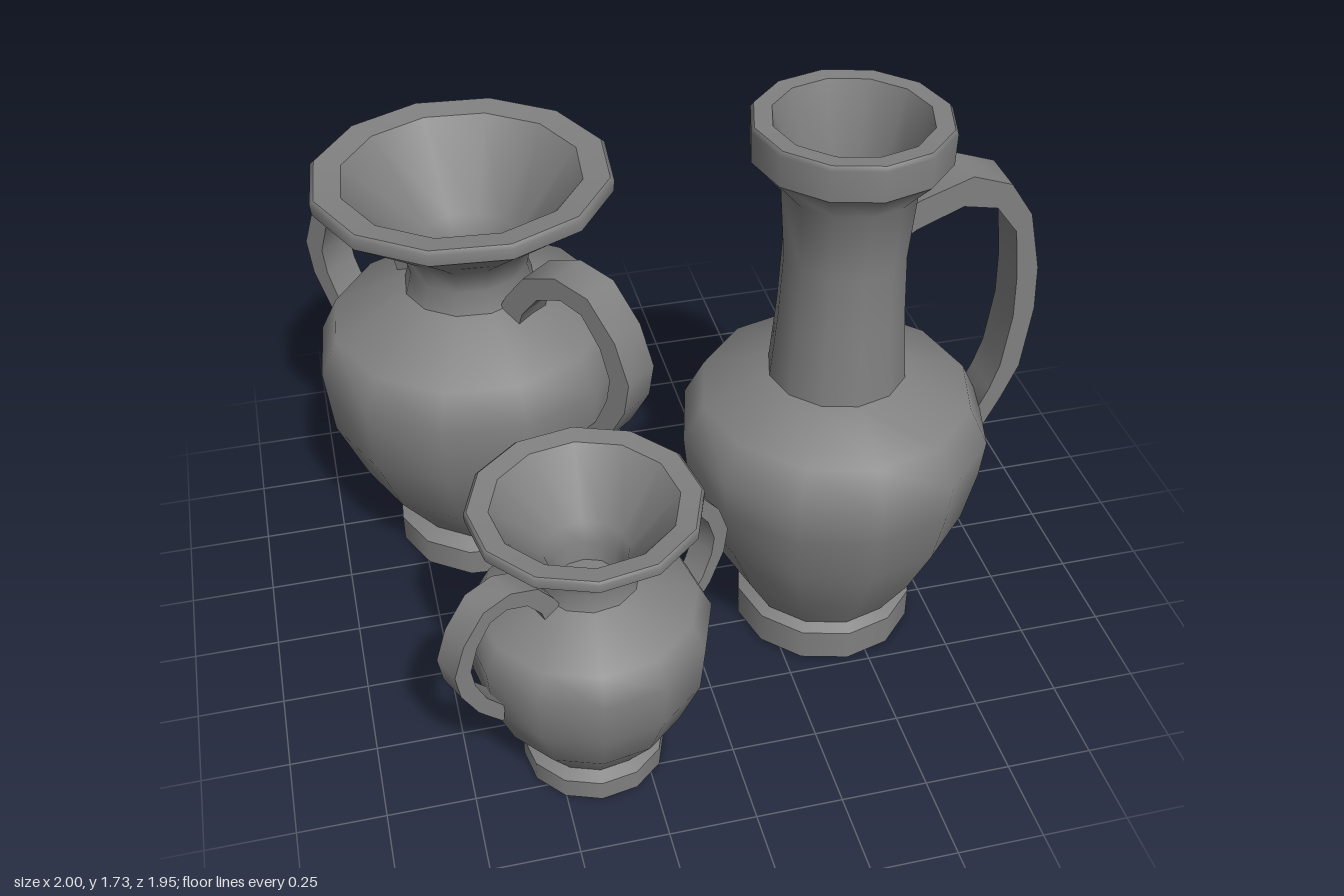
import * as THREE from 'three';
import { mergeGeometries, toCreasedNormals } from 'three/addons/utils/BufferGeometryUtils.js';

const SIDES = 12;
const material = new THREE.MeshStandardMaterial({ color: 0x808080 });
const vectors = (list) => list.map(([x, y]) => new THREE.Vector2(x, y));

function addMesh(parent, name, geometry) {
  const mesh = new THREE.Mesh(geometry, material);
  mesh.name = name;
  parent.add(mesh);
  return mesh;
}

// Closed turned vessel, up the outside and down the inside.
// Each run of the profile is smooth; the edges between runs stay sharp.
function addVessel(parent, name, runs) {
  const bands = runs.map((run, i) => {
    const start = i > 0 ? [runs[i - 1].at(-1)] : [];
    return new THREE.LatheGeometry(vectors([...start, ...run]), SIDES);
  });
  return addMesh(parent, name, mergeGeometries(bands));
}

// Flat strap handle: side outline in the x-y plane, given a width along z
function addHandle(parent, name, outer, inner, width) {
  const shape = new THREE.Shape(vectors([...outer, ...[...inner].reverse()]));
  const geometry = new THREE.ExtrudeGeometry(shape, { depth: width, bevelEnabled: false });
  geometry.translate(0, 0, -width / 2);
  return addMesh(parent, name, toCreasedNormals(geometry, 0.7));
}

// Tall jug with one handle
function createJug() {
  const jug = new THREE.Group();
  addVessel(jug, 'jugBody', [
    [[0, 0], [0.272, 0]],                                  // underside
    [[0.272, 0.1]],                                        // foot
    [[0.24, 0.118]],
    [[0.33, 0.27], [0.405, 0.44], [0.44, 0.61],            // belly and shoulder
      [0.452, 0.73], [0.395, 0.845], [0.2, 0.917]],
    [[0.183, 1.12], [0.174, 1.32], [0.19, 1.53], [0.275, 1.625]], // neck
    [[0.277, 1.715], [0.268, 1.727]],                      // rim
    [[0.218, 1.725]],
    [[0.15, 1.53], [0.135, 1.3], [0.13, 0.95]],            // inside
    [[0, 0.95]],
  ]);
  addHandle(jug, 'jugHandle',
    [[0.15, 1.46], [0.18, 1.48], [0.33, 1.535], [0.445, 1.495], [0.515, 1.39],
      [0.555, 1.21], [0.562, 1.07], [0.54, 0.87], [0.495, 0.76], [0.435, 0.635]],
    [[0.15, 1.37], [0.18, 1.39], [0.31, 1.445], [0.41, 1.425], [0.475, 1.34],
      [0.495, 1.19], [0.5, 1.05], [0.48, 0.88], [0.455, 0.8], [0.42, 0.72]],
    0.135);
  return jug;
}

// Wide-mouthed vase with two handles
function createAmphora() {
  const amphora = new THREE.Group();
  addVessel(amphora, 'vaseBody', [
    [[0, 0], [0.29, 0]],                                   // underside
    [[0.29, 0.09]],                                        // foot
    [[0.24, 0.115]],
    [[0.38, 0.31], [0.465, 0.52], [0.485, 0.73],           // belly and shoulder
      [0.43, 0.84], [0.2, 0.95]],
    [[0.18, 1.02], [0.2, 1.1], [0.31, 1.185], [0.449, 1.29]], // neck
    [[0.452, 1.325], [0.44, 1.335]],                       // rim
    [[0.36, 1.325]],
    [[0.165, 1.08], [0.14, 1.0], [0.13, 0.92]],            // inside
    [[0, 0.92]],
  ]);
  for (const side of [1, -1]) {
    const handle = addHandle(amphora, side > 0 ? 'firstVaseHandle' : 'secondVaseHandle',
      [[0.16, 0.93], [0.2, 1.0], [0.27, 1.09], [0.39, 1.138], [0.51, 1.115],
        [0.605, 1.0], [0.653, 0.87], [0.635, 0.76], [0.565, 0.63], [0.46, 0.51]],
      [[0.24, 0.9], [0.26, 0.96], [0.32, 1.035], [0.41, 1.07], [0.485, 1.05],
        [0.55, 0.96], [0.583, 0.86], [0.57, 0.78], [0.525, 0.68], [0.45, 0.59]],
      0.122);
    handle.rotation.y = side > 0 ? 0 : Math.PI;
  }
  return amphora;
}

export function createModel() {
  const model = new THREE.Group();
  model.name = 'potteryGroup';
  const place = (name, vessel, x, z, degrees, scale) => {
    vessel.name = name;
    vessel.position.set(x, 0, z);
    vessel.rotation.y = THREE.MathUtils.degToRad(degrees);
    vessel.scale.setScalar(scale);
    model.add(vessel);
  };
  place('tallJug', createJug(), 0.438, 0.207, 0, 1);
  place('largeVase', createAmphora(), -0.524, -0.437, -50, 1);
  place('smallVase', createAmphora(), -0.386, 0.633, 25, 0.7);
  return model;
}
